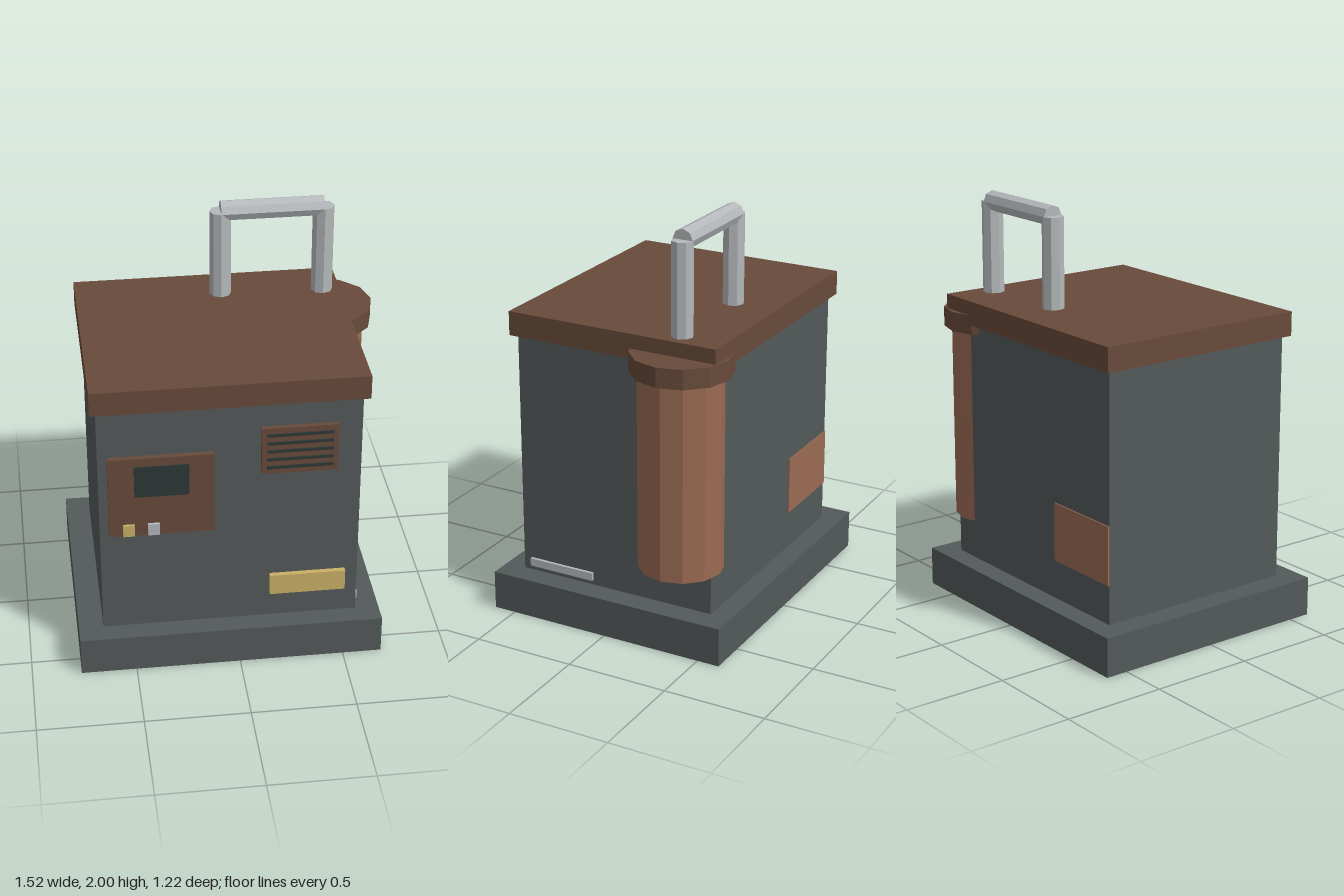
import * as THREE from 'three';

const material = (name, color) => {
  const m = new THREE.MeshStandardMaterial({ color, flatShading: true });
  m.name = name;
  return m;
};

export function createModel() {
  const model = new THREE.Group();
  model.name = 'generator';

  const grey = material('slate grey', 0x535959);
  const brown = material('dark brown', 0x684a3a);
  const copper = material('copper', 0x9a6a53);
  const silver = material('silver', 0xb4b8ba);
  const gold = material('brass yellow', 0xc9b066);
  const dark = material('screen dark', 0x2c3636);

  const add = (name, geometry, mat, x, y, z) => {
    const mesh = new THREE.Mesh(geometry, mat);
    mesh.name = name;
    mesh.position.set(x, y, z);
    model.add(mesh);
    return mesh;
  };

  // box given by its extents on each axis
  const box = (name, mat, [x0, x1], [y0, y1], [z0, z1]) =>
    add(name, new THREE.BoxGeometry(x1 - x0, y1 - y0, z1 - z0), mat,
      (x0 + x1) / 2, (y0 + y1) / 2, (z0 + z1) / 2);

  // upright prism with a corner pointing along +x
  const post = (name, mat, r, sides, x, y0, y1, z) =>
    add(name, new THREE.CylinderGeometry(r, r, y1 - y0, sides), mat, x, (y0 + y1) / 2, z);

  // housing
  box('base', grey, [-0.765, 0.688], [0, 0.19], [-0.61, 0.61]);
  box('body', grey, [-0.648, 0.574], [0.19, 1.39], [-0.508, 0.508]);
  box('roof', brown, [-0.677, 0.602], [1.388, 1.505], [-0.538, 0.538]);

  // side tank with its lid
  const tankX = 0.52, tankZ = -0.325;
  post('tank', copper, 0.203, 12, tankX, 0.38, 1.34, tankZ);
  post('tankLid', brown, 0.24, 12, tankX, 1.34, 1.435, tankZ);

  // carrying handle
  const legs = [0.02, 0.514];
  post('handleLeg', silver, 0.052, 8, legs[0], 1.515, 1.95, tankZ);
  post('handleLeg', silver, 0.052, 8, legs[1], 1.435, 1.95, tankZ);
  const bar = add('handleBar', new THREE.CylinderGeometry(0.05, 0.05, legs[1] - legs[0], 8),
    silver, (legs[0] + legs[1]) / 2, 1.95, tankZ);
  bar.rotation.z = Math.PI / 2;

  // control panel
  box('controlPanel', brown, [-0.605, -0.113], [0.726, 1.145], [0.5, 0.535]);
  box('screen', dark, [-0.484, -0.23], [0.94, 1.102], [0.534, 0.542]);
  box('button', gold, [-0.541, -0.487], [0.73, 0.79], [0.53, 0.549]);
  box('button', silver, [-0.425, -0.37], [0.73, 0.79], [0.53, 0.549]);

  // vent with slats
  box('vent', brown, [0.105, 0.461], [1.015, 1.258], [0.5, 0.531]);
  for (let i = 0; i < 5; i++) {
    const y = 1.222 - i * 0.043;
    box('ventSlat', dark, [0.13, 0.437], [y - 0.007, y + 0.007], [0.53, 0.538]);
  }

  // plates on the front, side and back
  box('frontPlate', gold, [0.151, 0.514], [0.327, 0.434], [0.5, 0.533]);
  box('sideStrip', silver, [0.565, 0.589], [0.215, 0.254], [0.122, 0.466]);
  box('backPanel', copper, [-0.646, -0.235], [0.38, 0.665], [-0.514, -0.506]);

  return model;
}
